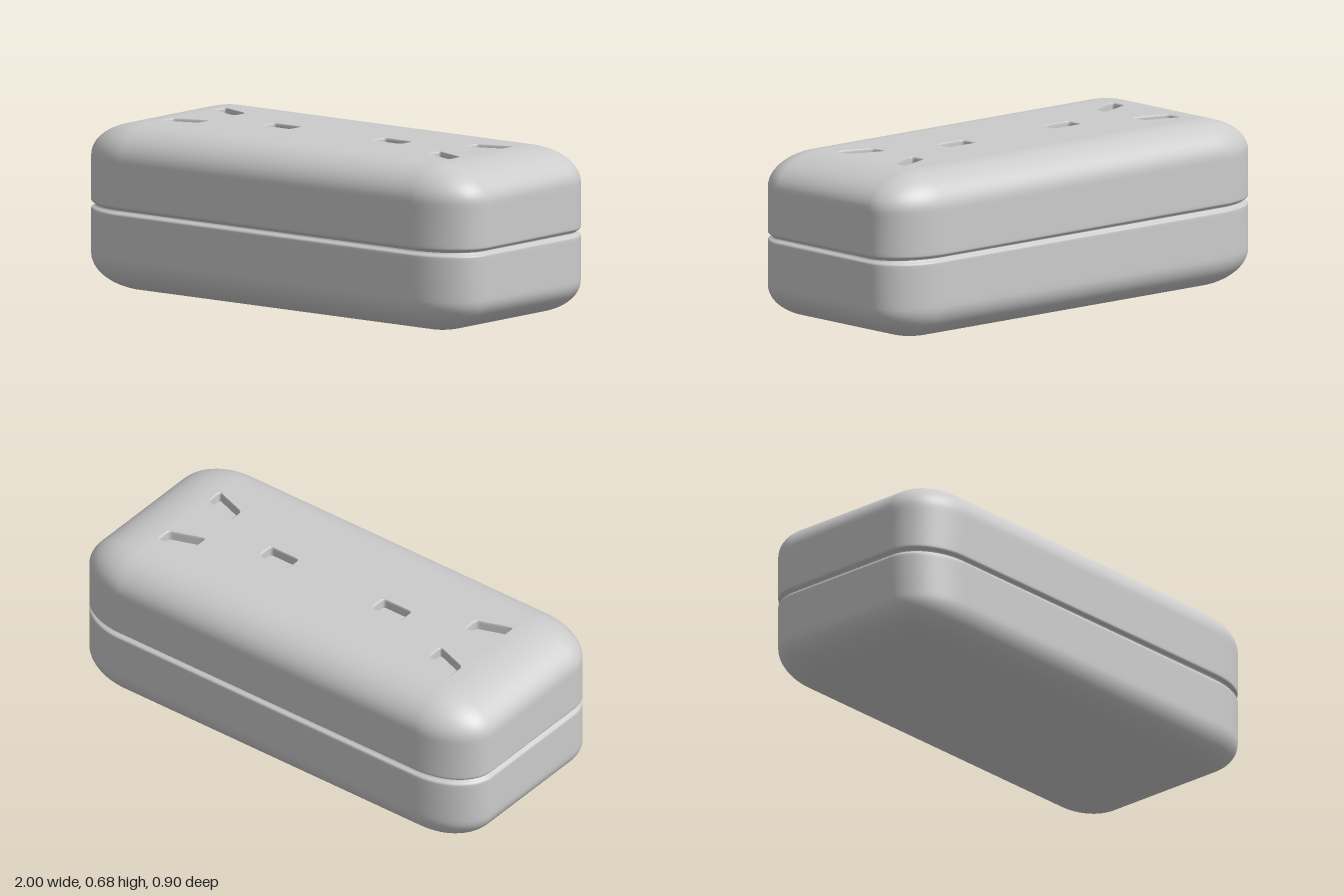
import * as THREE from 'three';

const HALF_X = 1, HALF_Z = 0.45, MID_Y = 0.3375; // overall half sizes
const RX = 0.25, RY = 0.14, RZ = 0.18;           // edge radii per axis
const SLOT_DEPTH = 0.04;
const material = new THREE.MeshStandardMaterial({ color: 0xcccccc });

// Smooth skin through a stack of closed loops
function loft(loops, flip = false) {
  const n = loops[0].length, index = [];
  for (let i = 0; i < loops.length - 1; i++) {
    for (let j = 0; j < n; j++) {
      const a = i * n + j, b = i * n + (j + 1) % n, c = a + n, d = b + n;
      if (flip) index.push(a, b, c, b, d, c);
      else index.push(a, c, b, b, c, d);
    }
  }
  const geometry = new THREE.BufferGeometry().setFromPoints(loops.flat());
  geometry.setIndex(index);
  geometry.computeVertexNormals();
  return geometry;
}

// Plan outline: c shrinks the corner radii towards the flat core, inset pulls it in
function outline(y, c, inset) {
  const loop = [], steps = 14;
  for (let q = 0; q < 4; q++) {
    const sx = q === 0 || q === 3 ? 1 : -1, sz = q < 2 ? 1 : -1;
    for (let k = 0; k <= steps; k++) {
      const t = (q + k / steps) * Math.PI / 2;
      loop.push(new THREE.Vector3(
        sx * (HALF_X - RX) + (RX * c - inset) * Math.cos(t), y,
        sz * (HALF_Z - RZ) + (RZ * c - inset) * Math.sin(t)));
    }
  }
  return loop;
}

// Half of the case wall, from the seam groove out to the flat face (s = 1 up, -1 down)
function wall(s) {
  const loops = [];
  const groove = [[0, 0.018], [0.005, 0.016], [0.008, 0.01], [0.011, 0.004], [0.015, 0.001], [0.019, 0], [0.03, 0]];
  for (const [h, inset] of groove) loops.push(outline(MID_Y + s * h, 1, inset));
  loops.push(outline(MID_Y + s * (MID_Y - RY - 0.02), 1, 0));
  for (let k = 0; k <= 14; k++) {
    const t = k / 14 * Math.PI / 2;
    loops.push(outline(MID_Y + s * (MID_Y - RY + RY * Math.sin(t)), Math.cos(t), 0));
  }
  return loft(loops, s < 0);
}

// Flat face in the xz plane, looking up (s = 1) or down (s = -1)
function flatFace(points, holes, y, s) {
  const toShape = p => new THREE.Vector2(p.x, -s * p.y);
  const shape = new THREE.Shape(points.map(toShape));
  shape.holes = holes.map(h => new THREE.Path(h.map(toShape)));
  return new THREE.ShapeGeometry(shape).rotateX(-s * Math.PI / 2).translate(0, y, 0);
}

// Polygon with softened corners
function softPolygon(corners, radius) {
  const points = [], v = corners.map(c => new THREE.Vector2(...c));
  v.forEach((p, i) => {
    const prev = v[(i + v.length - 1) % v.length], next = v[(i + 1) % v.length];
    const a = prev.clone().sub(p).setLength(radius).add(p);
    const b = next.clone().sub(p).setLength(radius).add(p);
    points.push(...new THREE.QuadraticBezierCurve(a, p, b).getPoints(5));
  });
  return THREE.ShapeUtils.isClockWise(points) ? points.reverse() : points;
}

// Slot outlines (x, z): one straight and two slanted per side
function slotOutlines() {
  const z0 = -0.005, list = [];
  const slanted = [[0.59, -0.15], [0.745, -0.205], [0.745, -0.13], [0.59, -0.075]];
  const straight = [[0.21, -0.04], [0.36, -0.04], [0.36, 0.04], [0.21, 0.04]];
  for (const sx of [1, -1]) {
    const place = (c, sz) => softPolygon(c.map(([x, z]) => [sx * x, z0 + sz * z]), 0.018);
    list.push(place(straight, 1), place(slanted, 1), place(slanted, -1));
  }
  return list;
}

export function createModel() {
  const model = new THREE.Group();
  model.name = 'slottedCase';
  const add = (parent, geometry, name) => {
    const mesh = new THREE.Mesh(geometry, material);
    mesh.name = name;
    parent.add(mesh);
  };
  const x = HALF_X - RX, z = HALF_Z - RZ, top = 2 * MID_Y;
  const core = [[-x, -z], [x, -z], [x, z], [-x, z]].map(c => new THREE.Vector2(...c));
  const slots = slotOutlines();

  // Upper and lower shells
  const upper = new THREE.Group(), lower = new THREE.Group();
  upper.name = 'upperShell';
  lower.name = 'lowerShell';
  add(upper, wall(1), 'upperWall');
  add(upper, flatFace(core, slots, top, 1), 'topFace');
  add(lower, wall(-1), 'lowerWall');
  add(lower, flatFace(core, [], 0, -1), 'bottomFace');
  model.add(upper, lower);

  // Recessed slots with softened rims
  slots.forEach((points, i) => {
    const slot = new THREE.Group();
    slot.name = `slot${i + 1}`;
    const centre = points.reduce((s, p) => s.add(p), new THREE.Vector2()).divideScalar(points.length);
    const scaled = k => points.map(p => p.clone().sub(centre).multiplyScalar(k).add(centre));
    const rows = [[1, 0], [0.96, 0.002], [0.94, 0.006], [0.93, 0.012], [0.92, SLOT_DEPTH]];
    add(slot, loft(rows.map(([k, d]) => scaled(k).map(p => new THREE.Vector3(p.x, top - d, p.y)))), 'slotWall');
    add(slot, flatFace(scaled(0.92), [], top - SLOT_DEPTH, 1), 'slotFloor');
    upper.add(slot);
  });
  return model;
}
